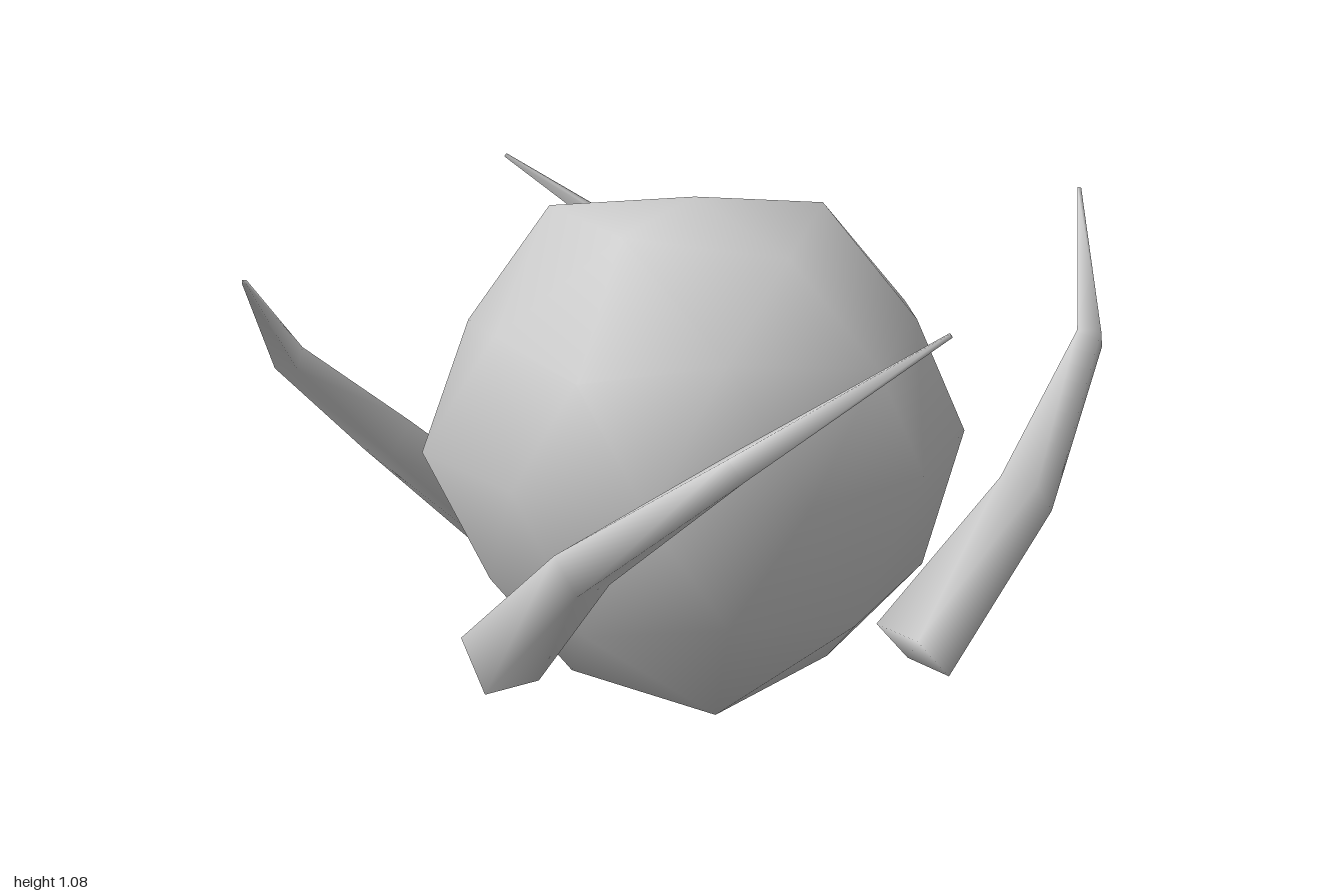
import * as THREE from 'three';
import { mergeVertices } from 'three/addons/utils/BufferGeometryUtils.js';

const material = new THREE.MeshStandardMaterial({ color: 0xcccccc });

// Radii of the uneven ball, one list per latitude ring, by azimuth from +x to +z
const RINGS = {
  '10': [0.54],
  '9': [0.588, 0.53, 0.605, 0.6, 0.56],
  '5': [0.56, 0.56, 0.544, 0.56, 0.56],
  '4': [0.581, 0.595, 0.56, 0.56, 0.588],
  '0': [0.6, 0.54, 0.53, 0.54, 0.52, 0.59, 0.545, 0.56, 0.555, 0.6],
  '-4': [0.56, 0.56, 0.54, 0.56, 0.56],
  '-5': [0.565, 0.565, 0.56, 0.56, 0.565],
  '-9': [0.563, 0.6, 0.566, 0.57, 0.56],
  '-10': [0.54],
};

function makeBody() {
  let geo = new THREE.IcosahedronGeometry(1, 1);
  geo.deleteAttribute('uv');
  geo.deleteAttribute('normal');
  geo = mergeVertices(geo, 1e-4);
  // Stand the icosphere on a vertex, with an upper-ring vertex toward +x
  geo.rotateZ(-Math.atan(2 / (1 + Math.sqrt(5))));
  const pos = geo.attributes.position;
  const v = new THREE.Vector3();
  for (let i = 0; i < pos.count; i++) {
    v.fromBufferAttribute(pos, i).normalize();
    const radii = RINGS[String(Math.round(v.y * 10) + 0)];
    const turn = (Math.atan2(v.z, v.x) / (2 * Math.PI) + 1 + 1e-3) % 1;
    v.multiplyScalar(radii[Math.floor(turn * radii.length)]);
    pos.setXYZ(i, v.x, v.y + 0.55, v.z);
  }
  geo.computeVertexNormals();
  const mesh = new THREE.Mesh(geo, material);
  mesh.name = 'body';
  return mesh;
}

// Four-sided tapering tentacle: square sections along a bent path
function makeTentacleGeometry() {
  const path = [
    [0.23, 0.22, 0.555],
    [0.53, 0.5, 0.5],
    [0.81, 0.76, 0.303],
    [0.994, 1.015, -0.03],
  ].map((p) => new THREE.Vector3(...p));
  const half = [0.065, 0.046, 0.026, 0.004];
  const up = new THREE.Vector3(0, 1, 0);
  const points = [];
  const index = [];
  path.forEach((p, k) => {
    const before = path[Math.max(k - 1, 0)];
    const after = path[Math.min(k + 1, path.length - 1)];
    const t = after.clone().sub(before).normalize();
    const s = t.clone().cross(up).normalize();
    const u = s.clone().cross(t);
    for (const [a, b] of [[1, 1], [-1, 1], [-1, -1], [1, -1]]) {
      points.push(p.clone().addScaledVector(u, a * half[k]).addScaledVector(s, b * half[k]));
    }
    if (k === 0) return;
    for (let j = 0; j < 4; j++) {
      const a = (k - 1) * 4 + j;
      const b = (k - 1) * 4 + ((j + 1) % 4);
      index.push(a, b, a + 4, b, b + 4, a + 4);
    }
  });
  const e = points.length - 4;
  index.push(0, 2, 1, 0, 3, 2, e, e + 1, e + 2, e, e + 2, e + 3); // end caps
  const geo = new THREE.BufferGeometry().setFromPoints(points);
  geo.setIndex(index);
  geo.computeVertexNormals();
  return geo;
}

export function createModel() {
  const group = new THREE.Group();
  group.name = 'tentacledBall';
  group.add(makeBody());

  // Four tentacles, a quarter turn apart
  const tentacle = makeTentacleGeometry();
  for (let i = 0; i < 4; i++) {
    const mesh = new THREE.Mesh(tentacle, material);
    mesh.name = `tentacle${i + 1}`;
    mesh.rotation.y = (i * Math.PI) / 2;
    group.add(mesh);
  }
  return group;
}
